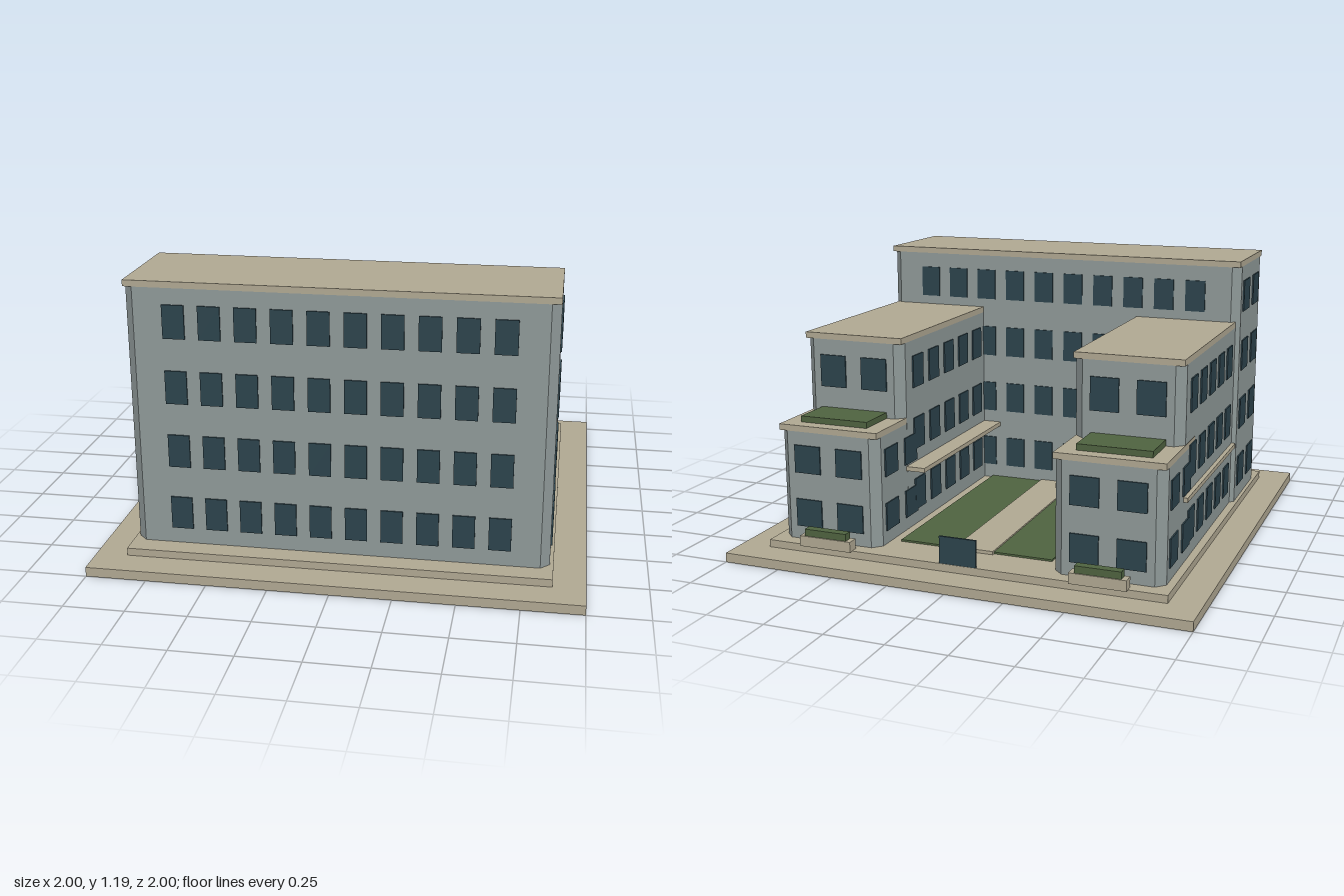
import * as THREE from 'three';

const material = (color) => new THREE.MeshStandardMaterial({ color, flatShading: true });

export function createModel() {
  const model = new THREE.Group();
  const stone = material(0xb0a892);
  const wall = material(0x8f9998);
  const glass = material(0x2c434c);
  const green = material(0x4f6340);

  // Box given by its extents on each axis
  function slab(name, mat, [x0, x1], [y0, y1], [z0, z1], parent = model) {
    const mesh = new THREE.Mesh(new THREE.BoxGeometry(x1 - x0, y1 - y0, z1 - z0), mat);
    mesh.position.set((x0 + x1) / 2, (y0 + y1) / 2, (z0 + z1) / 2);
    mesh.name = name;
    parent.add(mesh);
    return mesh;
  }

  // Rectangular prism with bevelled vertical corners
  function chamferedBody(w, d, h, c) {
    const a = w / 2, b = d / 2;
    const outline = [[a, b - c], [a - c, b], [c - a, b], [-a, b - c],
      [-a, c - b], [c - a, -b], [a - c, -b], [a, c - b]];
    const shape = new THREE.Shape(outline.map(([x, y]) => new THREE.Vector2(x, y)));
    return new THREE.ExtrudeGeometry(shape, { depth: h, bevelEnabled: false }).rotateX(-Math.PI / 2);
  }

  // Building block: walls, flat roof and a grid of windows on all four faces
  function block(name, [x0, x1], [y0, y1], [z0, z1], floors, nx, nz) {
    const group = new THREE.Group();
    group.name = name;
    model.add(group);
    const w = x1 - x0, d = z1 - z0, h = y1 - y0;
    const cx = (x0 + x1) / 2, cz = (z0 + z1) / 2;
    const body = new THREE.Mesh(chamferedBody(w, d, h, 0.037), wall);
    body.name = 'walls';
    body.position.set(cx, y0, cz);
    group.add(body);
    slab('roof', stone, [x0, x1], [y1, y1 + 0.026], [z0, z1], group);

    const floor = h / floors;
    const faces = [[0, w, d, nx], [Math.PI, w, d, nx], [Math.PI / 2, d, w, nz], [-Math.PI / 2, d, w, nz]];
    for (const [angle, length, depth, count] of faces) {
      const face = new THREE.Group();
      face.name = 'windowWall';
      face.position.set(cx, 0, cz);
      face.rotation.y = angle;
      group.add(face);
      const pitch = length * 0.85 / count;
      const pane = new THREE.BoxGeometry(pitch * 0.62, floor * 0.51, 0.012);
      for (let f = 0; f < floors; f++) {
        for (let i = 0; i < count; i++) {
          const win = new THREE.Mesh(pane, glass);
          win.name = 'window';
          win.position.set((i - (count - 1) / 2) * pitch, y0 + (f + 0.5) * floor, depth / 2);
          face.add(win);
        }
      }
    }
  }

  // Ground and plinth
  slab('ground', stone, [-1, 1], [0, 0.04], [-1, 1]);
  slab('plinth', stone, [-0.868, 0.868], [0.04, 0.072], [-0.868, 0.868]);

  // Courtyard lawn with central path
  slab('lawn', green, [-0.338, 0.338], [0.072, 0.08], [-0.689, 0.35]);
  slab('path', stone, [-0.084, 0.084], [0.072, 0.086], [-0.702, 0.35]);

  // Tall front building
  block('mainBuilding', [-0.853, 0.853], [0.072, 1.161], [0.308, 0.777], 4, 10, 2);

  // Mirrored side parts
  for (const s of [-1, 1]) {
    const span = (a, b) => (s > 0 ? [a, b] : [-b, -a]);
    block('wing', span(0.381, 0.835), [0.072, 0.889], [-0.566, 0.365], 3, 2, 5);
    block('annex', span(0.3815, 0.8355), [0.072, 0.54], [-0.805, -0.38], 2, 2, 2);
    slab('ledge', stone, span(0.297, 0.853), [0.335, 0.354], [-0.54, 0.33]);
    slab('roofGarden', green, span(0.456, 0.765), [0.56, 0.592], [-0.746, -0.5]);
    slab('planter', stone, span(0.475, 0.71), [0.07, 0.115], [-0.885, -0.836]);
    slab('planterHedge', green, span(0.497, 0.688), [0.11, 0.145], [-0.88, -0.842]);
  }

  // Plain entrance panel
  slab('entrancePanel', glass, [-0.08, 0.08], [0.072, 0.187], [-0.866, -0.857]);

  return model;
}
